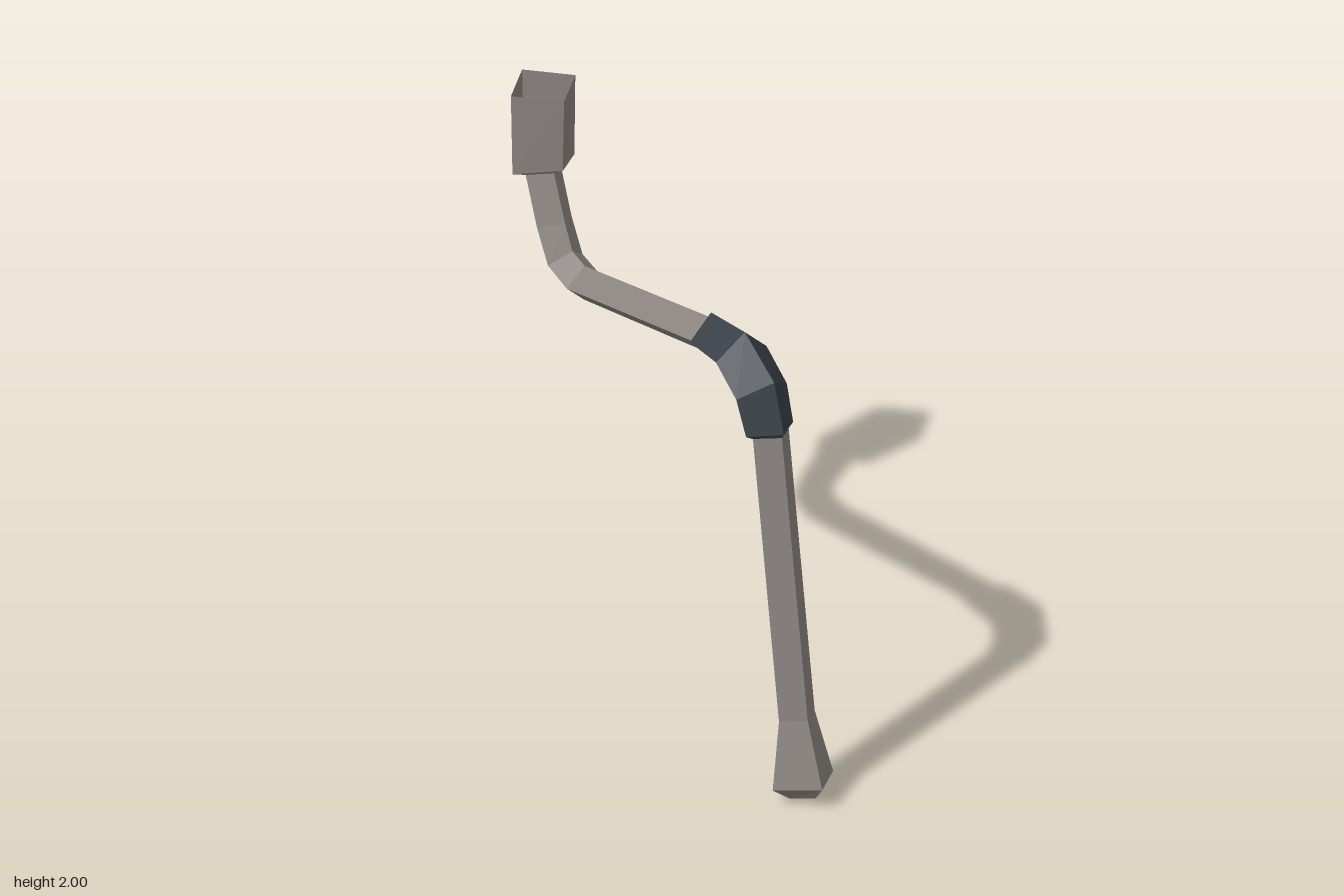
import * as THREE from 'three';

const pipeMaterial = new THREE.MeshStandardMaterial({ color: 0x8a8380, side: THREE.DoubleSide, flatShading: true });
pipeMaterial.name = 'warm grey metal';
const cuffMaterial = new THREE.MeshStandardMaterial({ color: 0x363f45, side: THREE.DoubleSide, flatShading: true });
cuffMaterial.name = 'dark slate';

// Skins a run of diamond rings. Each ring is
// [front z, front y, back z, back y, half width], listed along the pipe.
function loft(name, rings, material, capStart = false) {
  const points = [];
  for (const [fz, fy, bz, by, half] of rings) {
    const z = (fz + bz) / 2, y = (fy + by) / 2;
    points.push([0, fy, fz], [half, y, z], [0, by, bz], [-half, y, z]);
  }
  const index = [];
  for (let r = 0; r < rings.length - 1; r++) {
    for (let k = 0; k < 4; k++) {
      const a = r * 4 + k, b = r * 4 + (k + 1) % 4;
      index.push(a, b, b + 4, a, b + 4, a + 4);
    }
  }
  if (capStart) index.push(0, 2, 1, 0, 3, 2);
  let geometry = new THREE.BufferGeometry();
  geometry.setAttribute('position', new THREE.Float32BufferAttribute(points.flat(), 3));
  geometry.setIndex(index);
  geometry = geometry.toNonIndexed();
  geometry.computeVertexNormals();
  const mesh = new THREE.Mesh(geometry, material);
  mesh.name = name;
  return mesh;
}

export function createModel() {
  const model = new THREE.Group();
  model.name = 'bentPipe';

  // Everything lies in one upright plane, turned slightly about y
  const pipe = new THREE.Group();
  pipe.name = 'pipeAssembly';
  pipe.rotation.y = 0.085;
  model.add(pipe);

  // Shared rings where parts meet
  const ankle = [0.84, 0.315, 0.705, 0.285, 0.072];
  const neck = [-0.735, 1.69, -0.87, 1.655, 0.07];

  // Flared foot with a bevelled, closed end
  pipe.add(loft('flaredFoot', [
    [0.89, 0.035, 0.75, 0.003, 0.06],
    [0.93, 0.085, 0.69, 0.045, 0.122],
    ankle,
  ], pipeMaterial, true));

  // Leg, hidden upper bend, sloping arm and lower bend
  pipe.add(loft('pipe', [
    ankle,
    [0.68, 1.345, 0.54, 1.32, 0.072],
    [0.61, 1.52, 0.49, 1.41, 0.072],
    [0.44, 1.62, 0.41, 1.475, 0.072],
    [0.24, 1.6, 0.25, 1.46, 0.072],
    [-0.545, 1.42, -0.545, 1.287, 0.072],
    [-0.62, 1.44, -0.71, 1.33, 0.07],
    [-0.665, 1.525, -0.8, 1.475, 0.07],
    neck,
  ], pipeMaterial));

  // Open square socket with a bevelled base
  pipe.add(loft('topSocket', [
    neck,
    [-0.68, 1.725, -0.92, 1.662, 0.125],
    [-0.672, 2, -0.932, 2, 0.13],
  ], pipeMaterial));

  // Thicker elbow cuff, lipped inward at both ends
  pipe.add(loft('elbowCuff', [
    [0.68, 1.342, 0.54, 1.312, 0.072],
    [0.692, 1.36, 0.515, 1.318, 0.095],
    [0.632, 1.535, 0.475, 1.39, 0.102],
    [0.45, 1.645, 0.405, 1.45, 0.102],
    [0.24, 1.62, 0.26, 1.455, 0.092],
    [0.228, 1.598, 0.242, 1.462, 0.072],
  ], cuffMaterial));

  return model;
}
